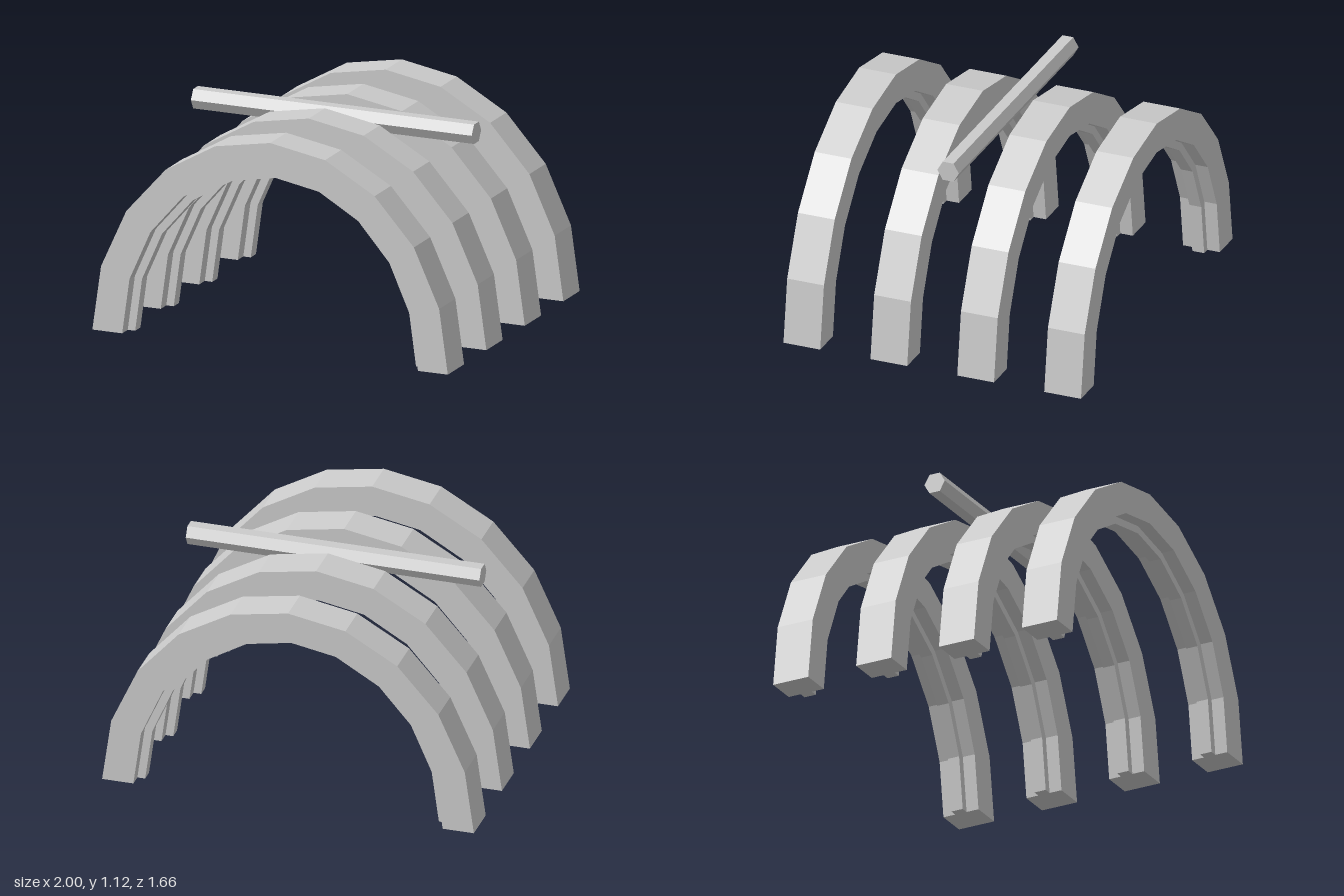
import * as THREE from 'three';

const SEGMENTS = 10;

// Half-ellipse band, extruded along z and centred on z = 0
function archBand(outerX, outerY, innerX, innerY, depth) {
  const arc = (rx, ry) => Array.from({ length: SEGMENTS + 1 }, (_, i) => {
    const a = (Math.PI * i) / SEGMENTS;
    return new THREE.Vector2(rx * Math.cos(a), i === SEGMENTS ? 0 : ry * Math.sin(a));
  });
  const shape = new THREE.Shape([...arc(outerX, outerY), ...arc(innerX, innerY).reverse()]);
  const geometry = new THREE.ExtrudeGeometry(shape, { depth, bevelEnabled: false });
  return geometry.translate(0, 0, -depth / 2);
}

export function createModel() {
  const model = new THREE.Group();
  model.name = 'archedRibs';

  const grey = new THREE.MeshStandardMaterial({ color: 0xcccccc, flatShading: true });
  grey.name = 'lightGrey';

  const add = (parent, name, geometry) => {
    const mesh = new THREE.Mesh(geometry, grey);
    mesh.name = name;
    parent.add(mesh);
    return mesh;
  };

  // Four arches, each with a narrow ridge along its inside
  const ribGeometry = archBand(1, 1.12, 0.832, 0.955, 0.205);
  const ridgeGeometry = archBand(0.832, 0.955, 0.79, 0.914, 0.066);
  [-0.727, -0.242, 0.242, 0.727].forEach((z, i) => {
    const arch = new THREE.Group();
    arch.name = `arch${i + 1}`;
    arch.position.z = z;
    add(arch, 'rib', ribGeometry);
    add(arch, 'innerRidge', ridgeGeometry);
    model.add(arch);
  });

  // Six-sided rod lying across the top
  const rod = add(model, 'crossRod', new THREE.CylinderGeometry(0.06, 0.06, 1.58, 6));
  rod.rotation.z = Math.PI / 2;
  rod.position.y = 1.046;

  return model;
}
